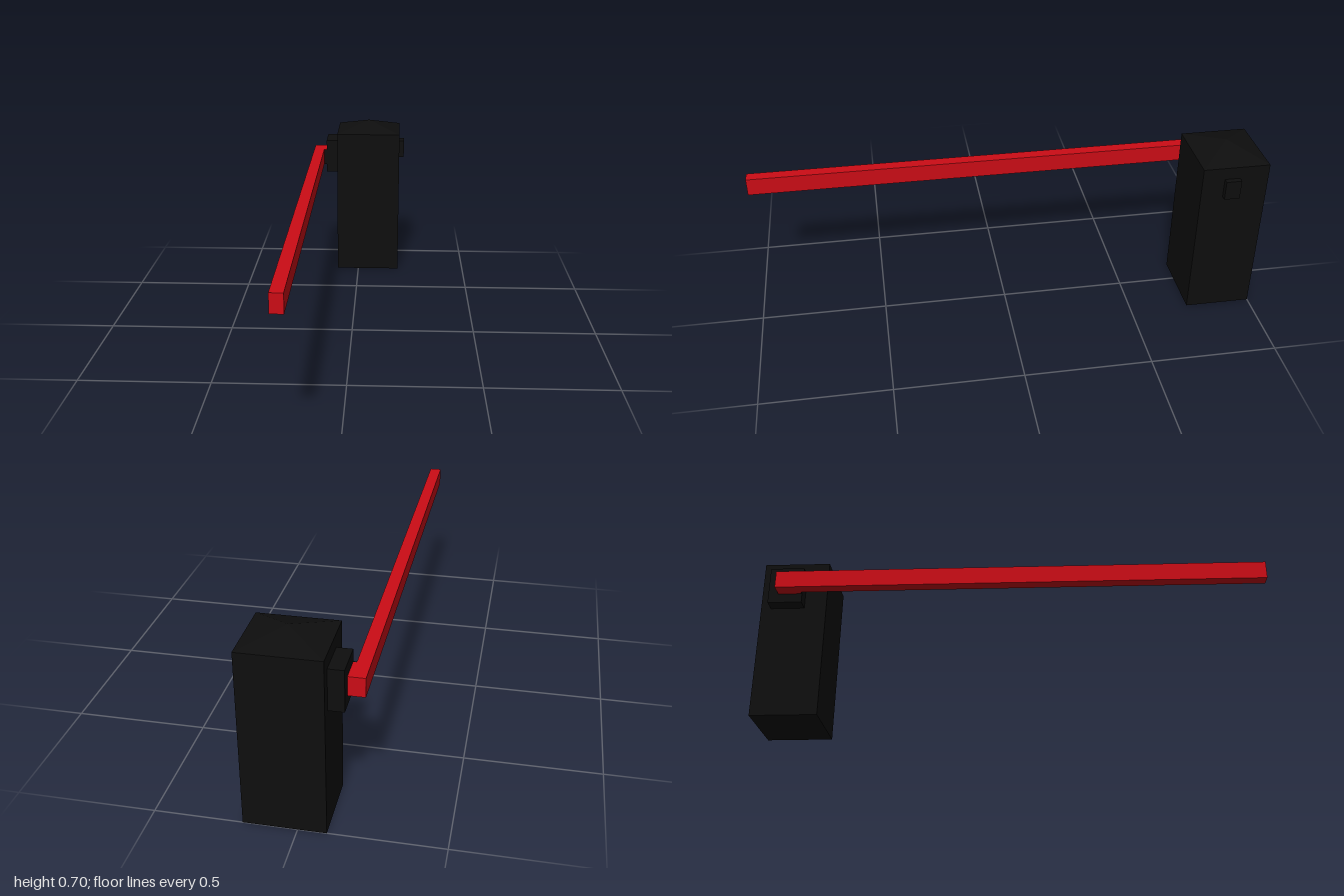
import * as THREE from 'three';

const black = new THREE.MeshStandardMaterial({ color: 0x0e0e0e, flatShading: true });
const red = new THREE.MeshStandardMaterial({ color: 0xcc0c16, flatShading: true });

// Box given by its extents along each axis
function block(name, [x0, x1], [y0, y1], [z0, z1], material) {
  const mesh = new THREE.Mesh(new THREE.BoxGeometry(x1 - x0, y1 - y0, z1 - z0), material);
  mesh.position.set((x0 + x1) / 2, (y0 + y1) / 2, (z0 + z1) / 2);
  mesh.name = name;
  return mesh;
}

export function createModel() {
  const model = new THREE.Group();
  model.name = 'barrierGate';

  const cabX = [-0.099, 0.189], cabZ = [-1, -0.737], eave = 0.657, peak = 0.7;

  // Cabinet with a shallow pyramid roof
  model.add(block('cabinet', cabX, [0, eave], cabZ, black));
  const roofGeometry = new THREE.ConeGeometry(Math.SQRT1_2, 1, 4, 1, true);
  roofGeometry.rotateY(Math.PI / 4);
  roofGeometry.scale(cabX[1] - cabX[0], peak - eave, cabZ[1] - cabZ[0]);
  const roof = new THREE.Mesh(roofGeometry, black);
  roof.position.set((cabX[0] + cabX[1]) / 2, (eave + peak) / 2, (cabZ[0] + cabZ[1]) / 2);
  roof.name = 'roof';
  model.add(roof);

  // Pivot housing on one side, control box on the other
  model.add(block('pivotHousing', [-0.154, cabX[0]], [0.456, 0.608], [-0.96, -0.825], black));
  model.add(block('controlBox', [cabX[1], 0.211], [0.53, 0.608], [-0.886, -0.825], black));

  // Boom arm, its mount and the black face of the mount
  const armY = [0.493, 0.563];
  model.add(block('boomArm', [-0.213, -0.166], armY, [-0.92, 1], red));
  model.add(block('armMount', [-0.166, -0.154], armY, [-0.92, -0.83], red));
  model.add(block('mountFace', [-0.166, -0.154], armY, [-0.83, -0.825], black));

  return model;
}
